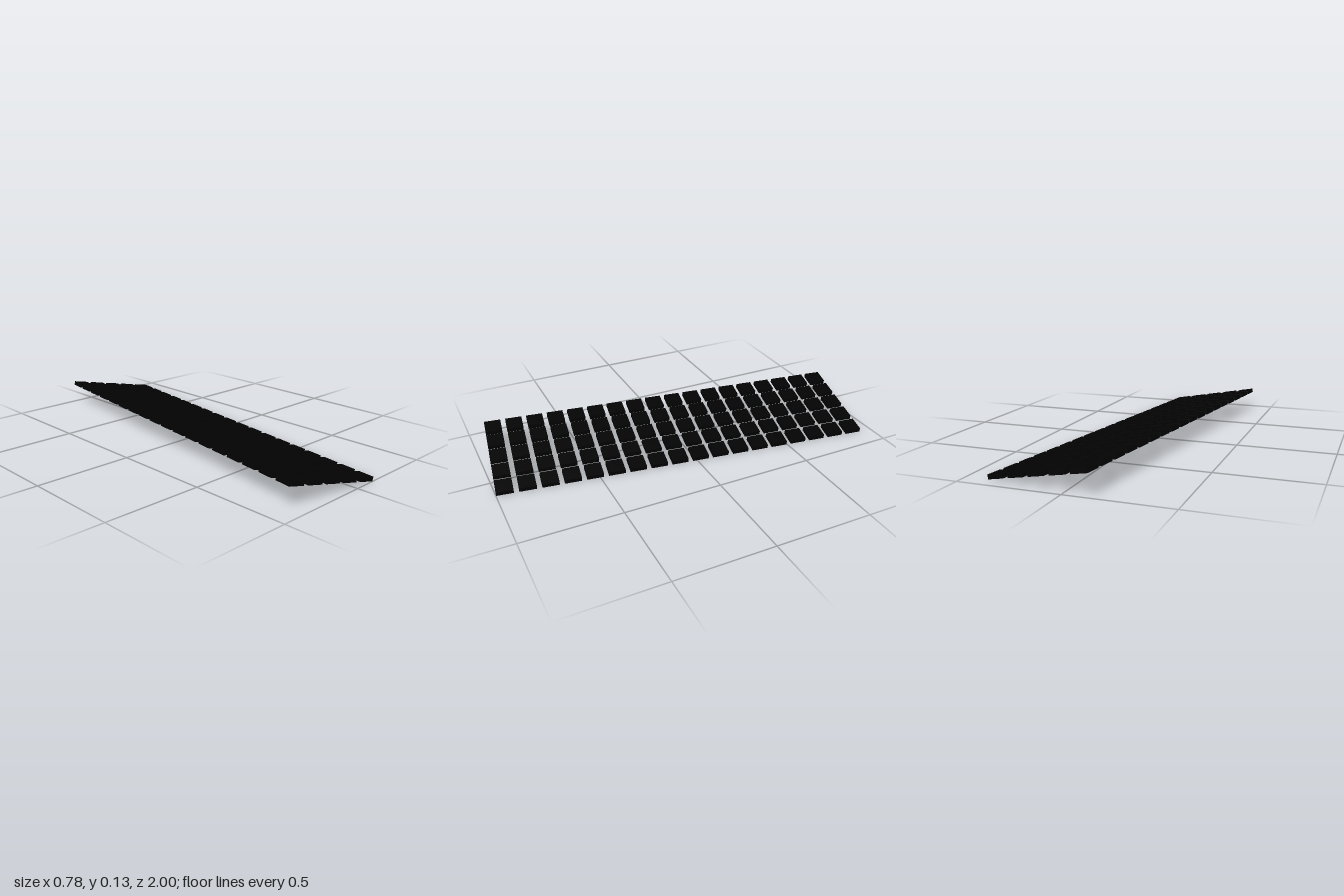
import * as THREE from 'three';

const COLUMNS = 5, ROWS = 18;
const PITCH = 0.1096, TILE = 0.084, THICKNESS = 0.022;

export function createModel() {
  const model = new THREE.Group();
  model.name = 'tiltedTileGrid';

  // flat grid of separate square tiles
  const panel = new THREE.Group();
  panel.name = 'tilePanel';
  const geometry = new THREE.BoxGeometry(TILE, THICKNESS, TILE);
  const material = new THREE.MeshStandardMaterial({ color: 0x020202 });
  for (let row = 0; row < ROWS; row++) {
    for (let col = 0; col < COLUMNS; col++) {
      const tile = new THREE.Mesh(geometry, material);
      tile.name = `tile_${row + 1}_${col + 1}`;
      tile.position.set((col - (COLUMNS - 1) / 2) * PITCH, 0, (row - (ROWS - 1) / 2) * PITCH);
      panel.add(tile);
    }
  }

  // long axis stays level: sloped across the width, then turned about the vertical
  const slope = THREE.MathUtils.degToRad(11.5);
  panel.rotation.set(0, THREE.MathUtils.degToRad(-7.95), -slope);
  const width = (COLUMNS - 1) * PITCH + TILE;
  panel.position.y = (width * Math.sin(slope) + THICKNESS * Math.cos(slope)) / 2;
  model.add(panel);
  return model;
}
